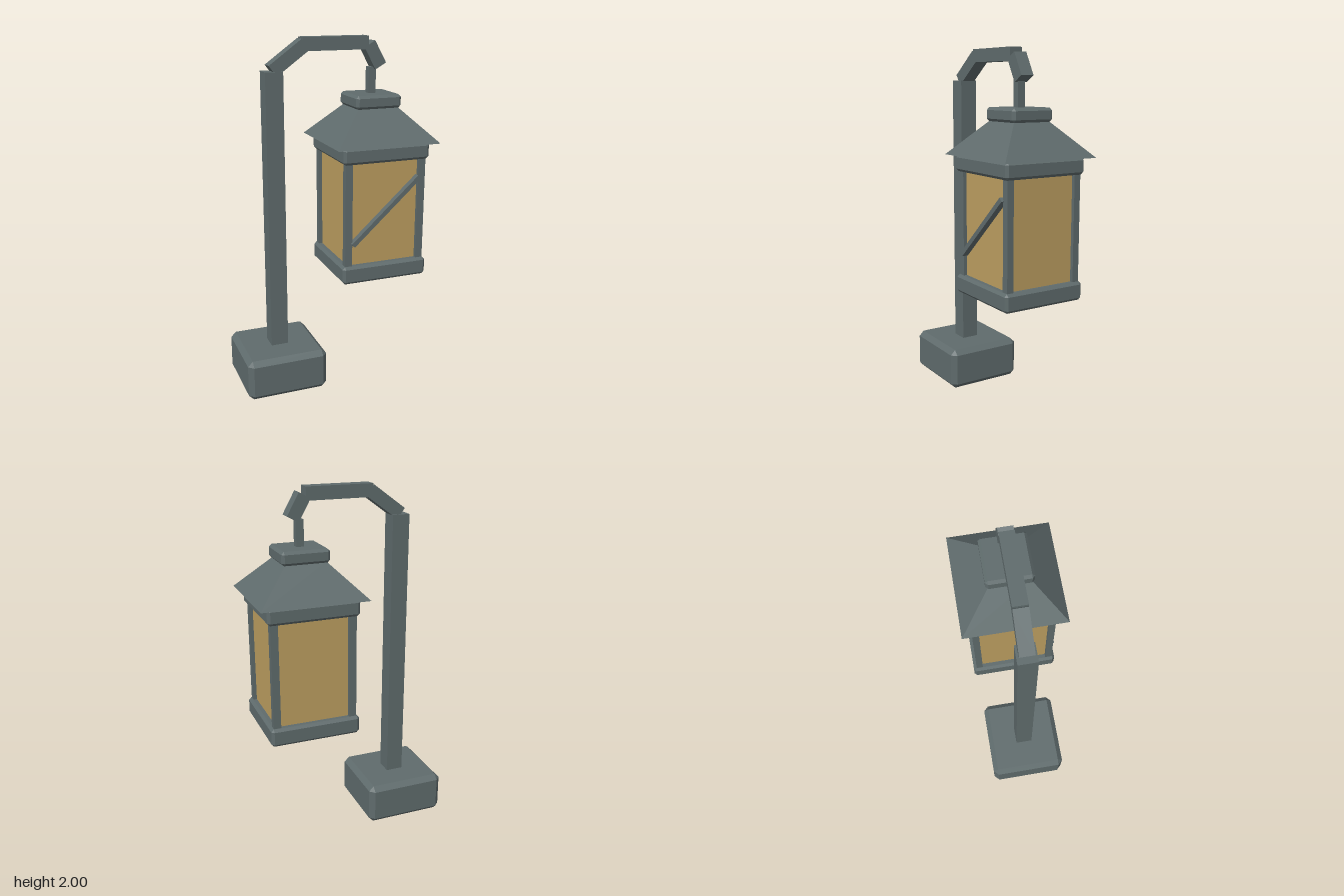
import * as THREE from 'three';
import { ConvexGeometry } from 'three/addons/geometries/ConvexGeometry.js';

// Box with every edge and corner cut flat
function chamferedBox(w, h, d, c) {
  const points = [];
  for (const x of [-1, 1]) for (const y of [-1, 1]) for (const z of [-1, 1]) {
    for (let full = 0; full < 3; full++) {
      const cut = [c, c, c];
      cut[full] = 0;
      points.push(new THREE.Vector3(x * (w / 2 - cut[0]), y * (h / 2 - cut[1]), z * (d / 2 - cut[2])));
    }
  }
  return new ConvexGeometry(points);
}

export function createModel() {
  const metal = new THREE.MeshStandardMaterial({ color: 0x5f6b6c });
  metal.name = 'grey metal';
  const amber = new THREE.MeshStandardMaterial({ color: 0xbc9e60 });
  amber.name = 'amber glass';

  const model = new THREE.Group();
  model.name = 'lanternPost';
  const lantern = new THREE.Group();
  lantern.name = 'lantern';
  lantern.position.x = 0.253;
  model.add(lantern);

  const add = (parent, name, geometry, material, x, y, z) => {
    const mesh = new THREE.Mesh(geometry, material);
    mesh.name = name;
    mesh.position.set(x, y, z);
    parent.add(mesh);
    return mesh;
  };

  // Straight bar between two points in the front plane
  const bar = (parent, name, [x1, y1], [x2, y2], thick, depth, z) => {
    const length = Math.hypot(x2 - x1, y2 - y1);
    const mesh = add(parent, name, new THREE.BoxGeometry(length, thick, depth), metal,
      (x1 + x2) / 2, (y1 + y2) / 2, z);
    mesh.rotation.z = Math.atan2(y2 - y1, x2 - x1);
  };

  // Foot and post
  add(model, 'base', chamferedBox(0.47, 0.24, 0.455, 0.029), metal, -0.325, 0.12, 0);
  add(model, 'post', new THREE.BoxGeometry(0.1, 1.625, 0.1), metal, -0.325, 1.0125, 0);

  // Bent arm
  bar(model, 'armRise', [-0.329, 1.828], [-0.145, 1.962], 0.073, 0.077, 0);
  bar(model, 'armTop', [-0.16, 1.9635], [0.222, 1.9635], 0.073, 0.077, 0);
  bar(model, 'armDrop', [0.228, 1.956], [0.296, 1.834], 0.073, 0.077, 0);

  // Hanger, cap and roof
  add(lantern, 'hanger', new THREE.BoxGeometry(0.043, 0.17, 0.043), metal, 0, 1.745, 0);
  add(lantern, 'cap', chamferedBox(0.27, 0.076, 0.256, 0.015), metal, 0, 1.647, 0);
  const roof = new THREE.CylinderGeometry(0.115 * Math.SQRT2, 0.302 * Math.SQRT2, 0.19, 4, 1).toNonIndexed();
  roof.rotateY(Math.PI / 4);
  roof.scale(1, 1, 0.95);
  roof.computeVertexNormals();
  add(lantern, 'roof', roof, metal, 0, 1.52, 0);

  // Frame rings, glass and corner posts
  add(lantern, 'upperRing', chamferedBox(0.515, 0.092, 0.5, 0.015), metal, 0, 1.38, 0);
  add(lantern, 'lowerRing', chamferedBox(0.515, 0.104, 0.5, 0.015), metal, 0, 0.695, 0);
  add(lantern, 'glass', new THREE.BoxGeometry(0.44, 0.62, 0.424), amber, 0, 1.04, 0);
  for (const x of [-1, 1]) for (const z of [-1, 1]) {
    add(lantern, 'cornerPost', new THREE.BoxGeometry(0.042, 0.62, 0.038), metal, x * 0.22, 1.04, z * 0.213);
  }

  // Diagonal brace across the front pane
  bar(lantern, 'brace', [-0.198, 0.872], [0.2, 1.234], 0.026, 0.04, 0.228);

  return model;
}
